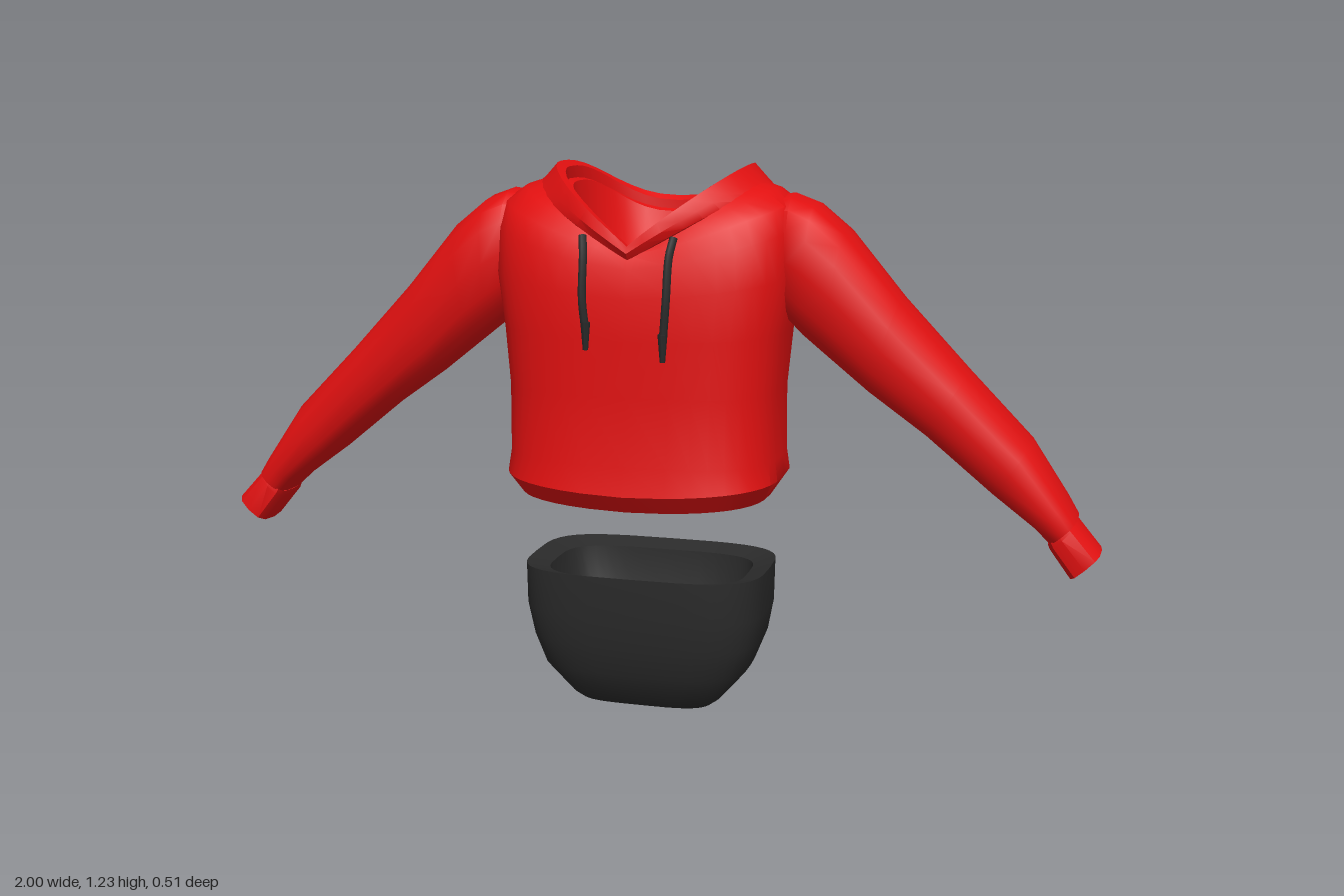
import * as THREE from 'three';
import { toCreasedNormals } from 'three/addons/utils/BufferGeometryUtils.js';

const red = new THREE.MeshStandardMaterial({ color: 0xe01010, side: THREE.DoubleSide });
red.name = 'red fabric';
const black = new THREE.MeshStandardMaterial({ color: 0x2a2a2a, side: THREE.DoubleSide });
black.name = 'black fabric';

// Skin a list of closed rings, each with the same number of [x, y, z] points.
function loft(rings, crease = 0.75) {
  const n = rings[0].length, index = [];
  for (let i = 0; i < rings.length - 1; i++) {
    for (let j = 0; j < n; j++) {
      const a = i * n + j, b = i * n + (j + 1) % n;
      index.push(a, b, a + n, b, b + n, a + n);
    }
  }
  const geo = new THREE.BufferGeometry();
  geo.setAttribute('position', new THREE.Float32BufferAttribute(rings.flat(2), 3));
  geo.setIndex(index);
  return toCreasedNormals(geo, crease);
}

const power = (v, e) => Math.sign(v) * Math.abs(v) ** (2 / e);

// Level ring whose height varies: front, side and back heights, half width,
// front and back depth, then how square the front and back halves are.
function ring([yF, yS, yB, hw, zF, zB, eF = 3.1, eB = eF], n = 40) {
  return Array.from({ length: n }, (_, i) => {
    const t = (i / n) * Math.PI * 2, s = Math.sin(t), c = Math.cos(t);
    const e = c > 0 ? eF : eB;
    const y = c > 0 ? yS + (yF - yS) * (1 - Math.abs(s)) : yS + (yB - yS) * Math.abs(c) ** 2.6;
    return [hw * power(s, e), y, (zF + zB) / 2 + ((zF - zB) / 2) * power(c, e)];
  });
}

// Sleeve ring between an upper and a lower edge point, with its depth range.
function armRing([ux, uy, lx, ly, zF, zB], side, e = 2.6, n = 16) {
  return Array.from({ length: n }, (_, i) => {
    const t = (i / n) * Math.PI * 2, c = power(Math.cos(t), e), s = power(Math.sin(t), e);
    return [
      side * ((ux + lx) / 2 + ((ux - lx) / 2) * c),
      (uy + ly) / 2 + ((uy - ly) / 2) * c,
      (zF + zB) / 2 + side * ((zF - zB) / 2) * s,
    ];
  });
}

export function createModel() {
  const model = new THREE.Group();
  const add = (name, geo, mat) => {
    const mesh = new THREE.Mesh(geo, mat);
    mesh.name = name;
    model.add(mesh);
  };

  // Body with a tucked hem and sloping shoulders
  add('body', loft([
    [0.55, 0.55, 0.55, 0, 0.03, 0.03],
    [0.54, 0.545, 0.54, 0.27, 0.215, -0.145],
    [0.495, 0.51, 0.505, 0.28, 0.225, -0.155],
    [0.535, 0.555, 0.535, 0.31, 0.255, -0.19],
    [0.6, 0.6, 0.6, 0.304, 0.242, -0.178],
    [0.75, 0.75, 0.75, 0.304, 0.235, -0.165],
    [0.87, 0.88, 0.87, 0.316, 0.235, -0.173],
    [0.96, 1.0, 0.94, 0.335, 0.232, -0.184, 3],
    [1.02, 1.1, 0.98, 0.336, 0.22, -0.188, 2.8],
    [1.05, 1.155, 1.0, 0.325, 0.207, -0.189, 2.5],
    [1.055, 1.185, 1.01, 0.285, 0.198, -0.189, 2.1, 2.3],
    [1.055, 1.205, 1.01, 0.222, 0.19, -0.189, 1.9, 2.2],
  ].map((r) => ring(r))), red);

  // Hood lying open: outer drape, rim, inner fold, neck lining and closed neck base
  add('hood', loft([
    [1.04, 1.17, 0.95, 0.26, 0.19, -0.18, 2, 2.2],
    [1.04, 1.19, 1.02, 0.262, 0.21, -0.235, 2, 2.2],
    [1.055, 1.205, 1.09, 0.245, 0.22, -0.254, 1.95, 2.2],
    [1.07, 1.234, 1.145, 0.218, 0.214, -0.236, 1.9, 2.4],
    [1.07, 1.222, 1.135, 0.197, 0.2, -0.22, 1.9, 2.5],
    [1.05, 1.195, 1.115, 0.197, 0.195, -0.218, 1.9, 2.5],
    [1.06, 1.19, 1.11, 0.18, 0.178, -0.205, 2, 2.6],
    [1.03, 1.12, 1.02, 0.165, 0.165, -0.17, 2.4, 2.6],
    [0.96, 0.97, 0.95, 0.115, 0.135, -0.085, 2.6],
    [0.95, 0.95, 0.95, 0, 0.025, 0.025],
  ].map((r) => ring(r)), 0.6), red);

  for (const side of [1, -1]) {
    const label = side > 0 ? 'left' : 'right';

    // Sleeve, from inside the shoulder to the gathered wrist
    add(label + 'Sleeve', loft([
      [0.25, 1.165, 0.27, 0.93, 0.09, -0.09],
      [0.32, 1.175, 0.322, 0.895, 0.124, -0.115],
      [0.37, 1.157, 0.35, 0.868, 0.134, -0.12],
      [0.44, 1.1, 0.395, 0.832, 0.135, -0.115],
      [0.56, 0.957, 0.495, 0.752, 0.128, -0.102],
      [0.705, 0.803, 0.62, 0.663, 0.116, -0.092],
      [0.845, 0.66, 0.765, 0.545, 0.115, -0.085],
      [0.925, 0.54, 0.86, 0.476, 0.115, -0.07],
      [0.948, 0.503, 0.888, 0.448, 0.11, -0.055],
      [0.915, 0.475, 0.915, 0.475, 0.03, 0.03],
    ].map((r) => armRing(r, side))), red);

    // Cuff
    add(label + 'Cuff', loft([
      [0.938, 0.505, 0.886, 0.448, 0.104, -0.035],
      [0.946, 0.497, 0.891, 0.437, 0.108, -0.04],
      [1.0, 0.437, 0.936, 0.377, 0.112, -0.02],
      [0.968, 0.407, 0.968, 0.407, 0.045, 0.045],
    ].map((r) => armRing(r, side, 3, 12)), 0.5), red);

    // Drawstring with a thicker tip
    const end = side > 0 ? 0.83 : 0.85;
    const path = new THREE.CatmullRomCurve3([
      [0.1, 1.09, 0.205], [0.094, 1.05, 0.222], [0.092, 0.96, 0.238], [0.086, end + 0.05, 0.238],
    ].map(([x, y, z]) => new THREE.Vector3(side * x, y, z)));
    add(label + 'Drawstring', new THREE.TubeGeometry(path, 14, 0.009, 8), black);
    const tip = new THREE.CylinderGeometry(0.011, 0.006, 0.06, 8);
    tip.translate(side * 0.085, end + 0.03, 0.238);
    add(label + 'DrawstringTip', tip, black);
  }

  // Hollow bowl below the body
  add('bowl', loft([
    [0, 0, 0.025], [0.015, 0.155, 0.115, -0.06], [0.03, 0.175, 0.13, -0.08],
    [0.1, 0.235, 0.168, -0.13], [0.17, 0.262, 0.184, -0.158], [0.24, 0.275, 0.195, -0.163],
    [0.335, 0.277, 0.196, -0.165], [0.32, 0.228, 0.15, -0.12], [0.24, 0.215, 0.142, -0.112],
    [0.14, 0.17, 0.11, -0.08], [0.1, 0, 0.025],
  ].map(([y, hw, zF, zB = zF]) => ring([y, y, y, hw, zF, zB, 3.7]))), black);

  return model;
}
